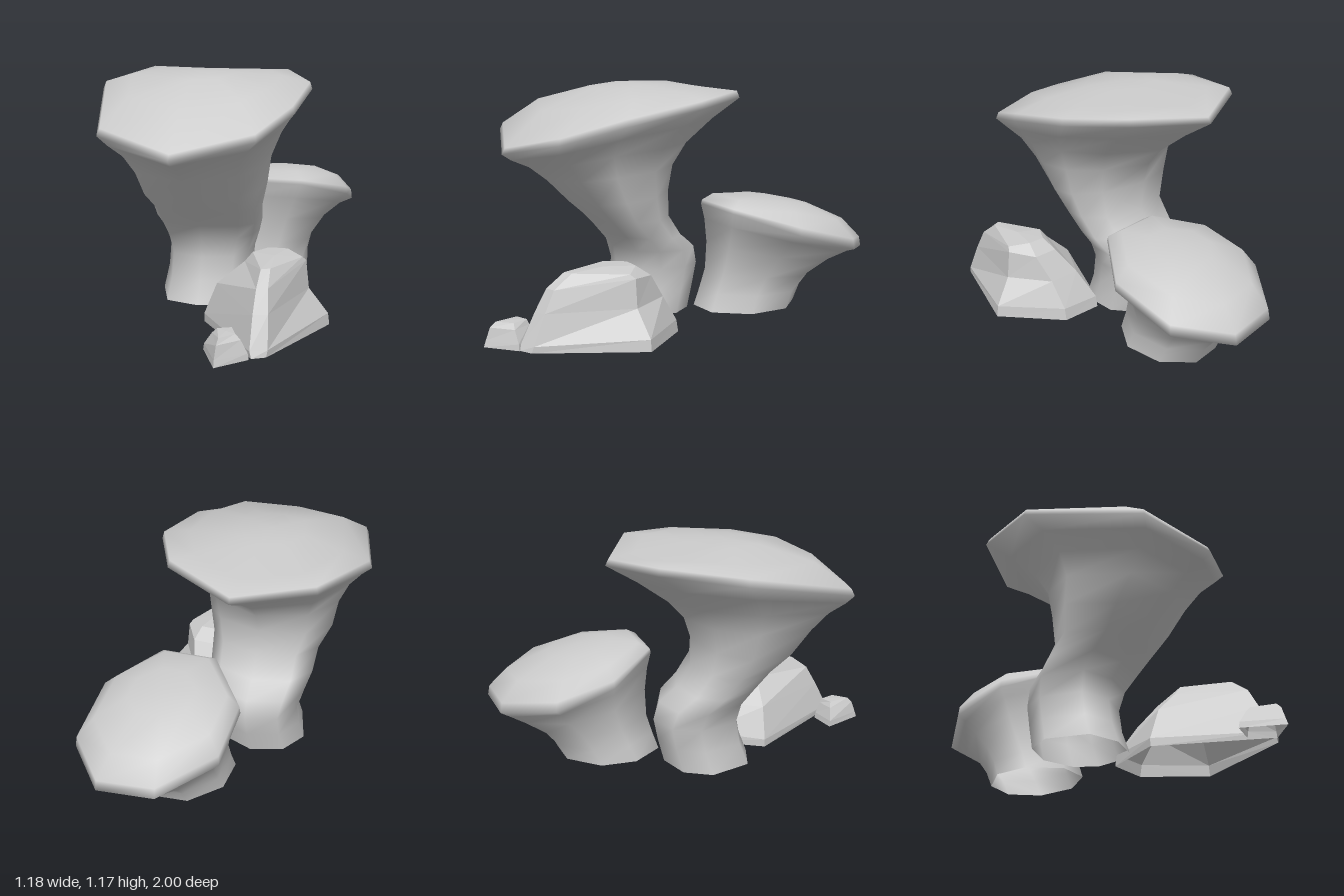
import * as THREE from 'three';

const material = new THREE.MeshStandardMaterial({ color: 0xcccccc, side: THREE.DoubleSide });
const rockMaterial = new THREE.MeshStandardMaterial({ color: 0xcccccc, side: THREE.DoubleSide, flatShading: true });

// Skins a stack of rings (arrays of [x, y, z]) and closes it with an apex point.
function loft(rings, apex) {
  const n = rings[0].length;
  const index = [];
  for (let i = 0; i < rings.length; i++) {
    for (let j = 0; j < n; j++) {
      const k = (j + 1) % n;
      const a = i * n + j, b = i * n + k;
      if (i < rings.length - 1) index.push(a, b, b + n, a, b + n, a + n);
      else index.push(a, b, rings.length * n);
    }
  }
  const geometry = new THREE.BufferGeometry();
  geometry.setAttribute('position', new THREE.Float32BufferAttribute([...rings.flat(), apex].flat(), 3));
  geometry.setIndex(index);
  geometry.computeVertexNormals();
  return geometry;
}

// Places an outline in a tilted ring: left x, right x, front z/y, back z/y, upward bow at the sides.
function tiltedRing(outline, [x0, x1, zf, yf, zb, yb, bow = 0]) {
  return outline.map(([u, v]) => {
    const t = (v + 1) / 2;
    return [
      THREE.MathUtils.lerp(x0, x1, (u + 1) / 2),
      THREE.MathUtils.lerp(yb, yf, t) + bow * (1 - v ** 4),
      THREE.MathUtils.lerp(zb, zf, t),
    ];
  });
}

function mushroom(name, outline, sections, apex) {
  const mesh = new THREE.Mesh(loft(sections.map((s) => tiltedRing(outline, s)), apex), material);
  mesh.name = name;
  return mesh;
}

// Faceted rock from levels of [heights, [x, z] corners].
function rock(name, levels, apex) {
  const rings = levels.map(([ys, pts]) => pts.map(([x, z], i) => [x, Array.isArray(ys) ? ys[i] : ys, z]));
  const geometry = loft(rings, apex).toNonIndexed();
  geometry.computeVertexNormals();
  const mesh = new THREE.Mesh(geometry, rockMaterial);
  mesh.name = name;
  return mesh;
}

export function createModel() {
  const group = new THREE.Group();
  group.name = 'mushroomCluster';

  // Tall mushroom: curved stem flaring into a forward-tilted cap
  group.add(mushroom('tallMushroom',
    [[0, 1], [0.7, 0.79], [0.94, 0.33], [1, -0.27], [0.7, -0.74], [0, -1], [-0.7, -0.74], [-1, -0.14], [-0.7, 0.79]],
    [
      [-0.31, 0.155, 0.26, 0.03, -0.18, 0.03],
      [-0.29, 0.145, 0.22, 0.14, -0.21, 0.15],
      [-0.285, 0.15, 0.2, 0.26, -0.23, 0.26],
      [-0.31, 0.18, 0.22, 0.36, -0.2, 0.35],
      [-0.33, 0.205, 0.28, 0.44, -0.11, 0.42],
      [-0.335, 0.22, 0.36, 0.52, -0.035, 0.53],
      [-0.39, 0.25, 0.46, 0.61, -0.035, 0.67],
      [-0.41, 0.27, 0.57, 0.72, -0.07, 0.78, 0.02],
      [-0.46, 0.315, 0.66, 0.79, -0.15, 0.87, 0.05],
      [-0.53, 0.38, 0.75, 0.83, -0.3, 0.98, 0.07],
      [-0.59, 0.44, 0.795, 0.86, -0.455, 1.075, 0.085],
      [-0.575, 0.43, 0.78, 0.89, -0.44, 1.105, 0.09],
      [-0.45, 0.3, 0.59, 1.055, -0.32, 1.13, 0.04],
      [-0.25, 0.08, 0.31, 1.15, -0.04, 1.165, 0.005],
    ], [-0.08, 1.172, 0.12]));

  // Short mushroom: leans backward
  group.add(mushroom('shortMushroom',
    [[-0.4, 1], [0.4, 0.97], [1, 0.33], [1, -0.49], [0.43, -1], [-0.37, -0.92], [-1, -0.31], [-1, 0.41]],
    [
      [-0.05, 0.36, -0.17, 0.03, -0.67, 0.03],
      [-0.04, 0.355, -0.2, 0.12, -0.71, 0.11],
      [-0.04, 0.37, -0.23, 0.22, -0.77, 0.18],
      [-0.06, 0.43, -0.235, 0.36, -0.87, 0.24],
      [-0.09, 0.51, -0.22, 0.48, -0.95, 0.28],
      [-0.12, 0.575, -0.2, 0.56, -1, 0.31, -0.02],
      [-0.115, 0.57, -0.205, 0.58, -0.99, 0.36, -0.01],
      [-0.06, 0.5, -0.26, 0.612, -0.9, 0.46],
      [0.08, 0.38, -0.4, 0.61, -0.7, 0.555],
    ], [0.23, 0.592, -0.55]));

  // Large rock: low skirt, flared sides and a chamfered top
  group.add(rock('largeRock', [
    [[0, 0.03, 0.03, 0.02, 0.01, 0.005], [[-0.01, 0.39], [0.31, 0.88], [0.37, 0.85], [0.587, 0.36], [0.36, 0.09], [0.14, 0.09]]],
    [[0.04, 0.06, 0.06, 0.075, 0.07, 0.06], [[-0.01, 0.39], [0.3, 0.87], [0.375, 0.84], [0.58, 0.36], [0.36, 0.1], [0.14, 0.1]]],
    [0.2, [[0.055, 0.4], [0.3, 0.8], [0.365, 0.78], [0.49, 0.38], [0.37, 0.18], [0.2, 0.18]]],
    [[0.32, 0.3, 0.3, 0.335, 0.32, 0.32], [[0.19, 0.41], [0.305, 0.745], [0.355, 0.73], [0.475, 0.38], [0.4, 0.26], [0.27, 0.26]]],
    [[0.37, 0.365, 0.365, 0.355, 0.37, 0.37], [[0.23, 0.42], [0.31, 0.66], [0.35, 0.64], [0.46, 0.4], [0.38, 0.33], [0.29, 0.33]]],
  ], [0.34, 0.375, 0.47]));

  // Small rock
  group.add(rock('smallRock', [
    [0.025, [[0.08, 0.8], [0.17, 1], [0.3, 0.88], [0.22, 0.77]]],
    [0.055, [[0.085, 0.805], [0.17, 0.99], [0.295, 0.88], [0.22, 0.775]]],
    [0.115, [[0.125, 0.82], [0.175, 0.97], [0.265, 0.885], [0.215, 0.795]]],
    [0.14, [[0.15, 0.83], [0.18, 0.945], [0.24, 0.88], [0.21, 0.805]]],
  ], [0.195, 0.143, 0.865]));

  return group;
}
